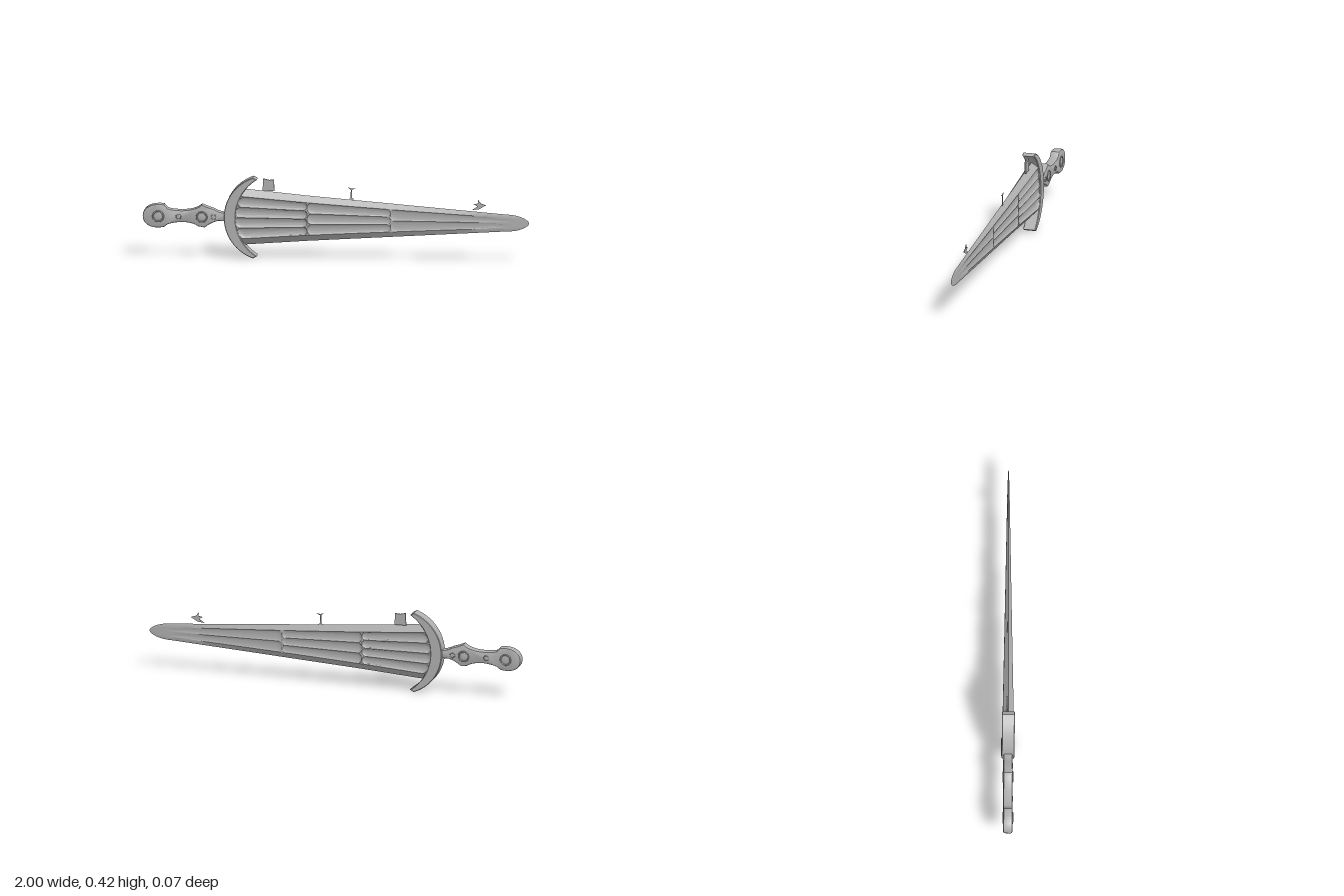
import * as THREE from 'three';
import { toCreasedNormals } from 'three/addons/utils/BufferGeometryUtils.js';

const steel = new THREE.MeshStandardMaterial({ color: 0xb0b0b0, side: THREE.DoubleSide });
steel.name = 'steel grey';

const MID = 0.216;
const { lerp, clamp } = THREE.MathUtils;

function part(name, geometry, parent) {
  const mesh = new THREE.Mesh(geometry, steel);
  mesh.name = name;
  parent.add(mesh);
  return mesh;
}

function extrude(shape, halfDepth, bevel, segments = 2) {
  const g = new THREE.ExtrudeGeometry(shape, {
    depth: 2 * (halfDepth - bevel), curveSegments: 24,
    bevelEnabled: bevel > 0, bevelSize: bevel, bevelThickness: bevel,
    bevelOffset: -bevel, bevelSegments: segments,
  });
  g.translate(0, 0, -(halfDepth - bevel));
  return toCreasedNormals(g, 0.6);
}

// Blade sections: start, end, number of fullers side by side
const SECTIONS = [[-0.525, -0.15, 4], [-0.15, 0.28, 3], [0.28, 0.9, 2]];

function bladeHalfWidth(x) {
  if (x < 0.88) return lerp(0.144, 0.044, (x + 0.5) / 1.38);
  const k = clamp((x - 0.88) / 0.115, 0, 1);
  return 0.044 * Math.pow(1 - k * k, 0.62);
}

// Scooped depth (0 to 1) of the fullers at station x, body position v in -1..1
function fullerDepth(x, v) {
  for (const [start, end, count] of SECTIONS) {
    if (x <= start || x >= end) continue;
    const f = (v + 1) / 2 * count;
    const q = 2 * (f - Math.floor(f)) - 1;
    const nearEnd = Math.min((x - start) / 0.025, (end - x) / (count === 2 ? 0.3 : 0.025));
    const p = Math.max(0, 1 - nearEnd);
    return Math.sqrt(Math.max(0, 1 - q * q - p * p));
  }
  return 0;
}

function bladeGeometry() {
  // Stations along the blade, closer together at the fuller ends
  const xs = [-0.55];
  for (const [start, end] of SECTIONS) {
    for (let i = 0; i <= 36; i++) {
      xs.push(lerp(start, end, (1 - Math.cos(Math.PI * i / 36)) / 2));
    }
  }
  for (let i = 1; i <= 12; i++) xs.push(lerp(0.9, 0.995, Math.sin(Math.PI * i / 24)));

  const CELLS = 48, row = CELLS + 3;
  const position = [], index = [];
  for (const side of [1, -1]) {
    const base = position.length / 3;
    xs.forEach((x, i) => {
      const w = bladeHalfWidth(x);
      const yc = lerp(0.2175, 0.206, (x + 0.5) / 1.5);
      const t = x < 0.9 ? lerp(0.03, 0.005, (x + 0.5) / 1.4) : lerp(0.005, 0.0005, (x - 0.9) / 0.095);
      const body = lerp(0.76, 0.6, clamp((x + 0.5) / 1.4, 0, 1));
      for (let j = 0; j < row; j++) {
        const edge = j === 0 || j === row - 1;
        const v = edge ? Math.sign(j - 1) : (j - 1) / CELLS * 2 - 1;
        const u = edge ? v : v * body;
        const z = edge ? 0 : t * (1 - 0.42 * fullerDepth(x, v));
        const curve = 0.06 * u * u * clamp((-0.15 - x) / 0.4, 0, 1);
        position.push(x + curve, yc + u * w, side * z);
        if (i === 0 || j === 0) continue;
        const d = base + i * row + j, c = d - 1, b = d - row, a = b - 1;
        if (side > 0) index.push(a, c, d, a, d, b);
        else index.push(a, d, c, a, b, d);
      }
    });
  }
  const g = new THREE.BufferGeometry();
  g.setAttribute('position', new THREE.Float32BufferAttribute(position, 3));
  g.setIndex(index);
  return toCreasedNormals(g, 0.5);
}

// Crescent between an outer and an inner arc
function guardShape() {
  const s = new THREE.Shape();
  const a = Math.atan2(0.214, 0.07);
  s.absarc(-0.356, MID, 0.224, Math.PI - a + 0.02, Math.PI + a - 0.02, false);
  const b = Math.atan2(0.2, 0.127);
  s.absarc(-0.283, MID, 0.237, Math.PI + b, Math.PI - b, true);
  s.closePath();
  return s;
}

// Round pommel, pinched waist, pointed swell and slim neck
function hiltShape() {
  const s = new THREE.Shape();
  const y = (h) => MID + h;
  s.moveTo(-0.56, y(0.022));
  s.quadraticCurveTo(-0.6, y(0.022), -0.635, y(0.042));
  s.lineTo(-0.665, y(0.052));
  s.lineTo(-0.695, y(0.064));
  s.quadraticCurveTo(-0.72, y(0.04), -0.775, y(0.034));
  s.quadraticCurveTo(-0.84, y(0.03), -0.872, y(0.042));
  s.lineTo(-0.89, y(0.062));
  s.bezierCurveTo(-0.955, y(0.07), -1, y(0.045), -1, y(0));
  s.bezierCurveTo(-1, y(-0.045), -0.955, y(-0.07), -0.89, y(-0.056));
  s.lineTo(-0.872, y(-0.042));
  s.quadraticCurveTo(-0.82, y(-0.026), -0.775, y(-0.03));
  s.quadraticCurveTo(-0.73, y(-0.036), -0.715, y(-0.05));
  s.lineTo(-0.68, y(-0.056));
  s.quadraticCurveTo(-0.65, y(-0.03), -0.61, y(-0.02));
  s.lineTo(-0.56, y(-0.022));
  s.closePath();
  return s;
}

function polygon(points) {
  return new THREE.Shape(points.map(([x, y]) => new THREE.Vector2(x, y)));
}

export function createModel() {
  const model = new THREE.Group();
  model.name = 'sword';
  const sword = new THREE.Group();
  sword.name = 'swordBody';
  model.add(sword);

  part('blade', bladeGeometry(), sword);
  part('guard', extrude(guardShape(), 0.033, 0.003, 1), sword);
  part('hilt', extrude(hiltShape(), 0.024, 0.008), sword);

  // Ringed studs on both faces of the hilt
  for (const [x, r] of [[-0.92, 0.027], [-0.815, 0.013], [-0.695, 0.026], [-0.635, 0.013]]) {
    for (const side of [1, -1]) {
      const ring = part('studRing', new THREE.TorusGeometry(r, r * 0.14, 8, 32), sword);
      ring.position.set(x, MID, side * 0.024);
      const dome = part('stud', new THREE.SphereGeometry(r * 0.78, 24, 12), sword);
      dome.scale.z = 0.14;
      dome.position.set(x, MID, side * 0.024);
    }
  }

  // Small loose pieces above the upper edge
  const scabbardClip = polygon([[-0.383, 0.352], [-0.322, 0.352], [-0.324, 0.412], [-0.35, 0.41], [-0.38, 0.417]]);
  const pin = polygon([[0.072, 0.322], [0.06, 0.314], [0.09, 0.316], [0.079, 0.324], [0.08, 0.366],
    [0.098, 0.375], [0.076, 0.372], [0.058, 0.38], [0.073, 0.366]]);
  const barb = polygon([[0.7, 0.272], [0.735, 0.276], [0.772, 0.297], [0.745, 0.306], [0.73, 0.325],
    [0.732, 0.306], [0.708, 0.302], [0.728, 0.29]]);
  part('clip', extrude(scabbardClip, 0.004, 0), sword).position.z = -0.009;
  part('pin', extrude(pin, 0.002, 0), sword).position.z = -0.006;
  part('barb', extrude(barb, 0.002, 0), sword).position.z = -0.004;

  // Slight lean, then rest on the ground
  sword.rotation.x = 0.012;
  sword.position.z = -0.0026;
  const box = new THREE.Box3().setFromObject(model);
  sword.position.y -= box.min.y;
  return model;
}
